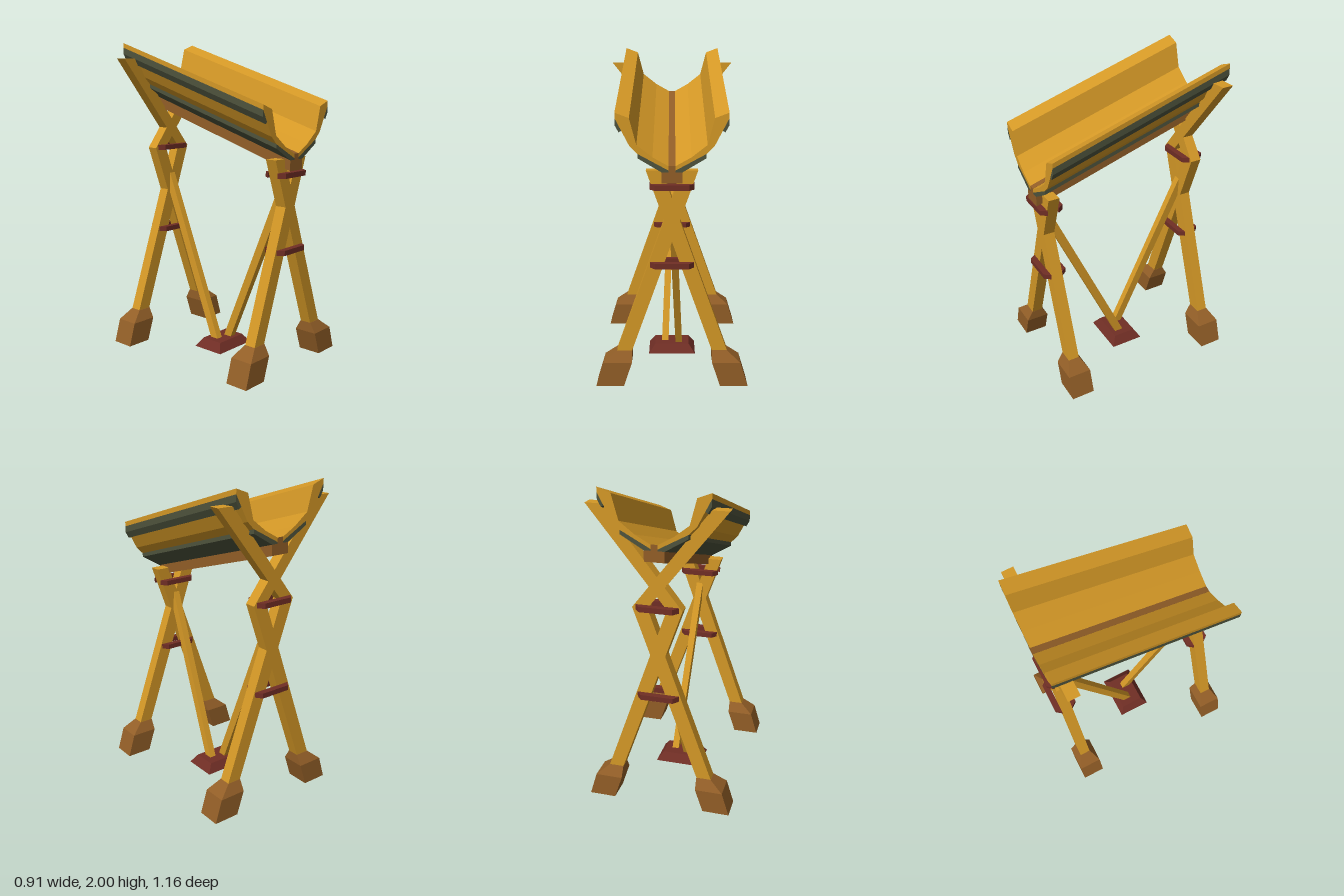
import * as THREE from 'three';

const SLOPE = 0.31; // rise of the trough towards the back
const HALF = 0.58; // half length of the trough

// Loft through rectangles [y, centre x, centre z, half width, half depth], lowest first
function loft(levels) {
  const rings = levels.map(([y, x, z, w, d]) => [
    [x - w, y, z - d], [x - w, y, z + d], [x + w, y, z + d], [x + w, y, z - d],
  ]);
  const pos = [];
  const quad = (a, b, c, d) => [a, b, c, a, c, d].forEach((p) => pos.push(...p));
  for (let r = 0; r < rings.length - 1; r++) {
    for (let i = 0; i < 4; i++) {
      const j = (i + 1) % 4;
      quad(rings[r][i], rings[r][j], rings[r + 1][j], rings[r + 1][i]);
    }
  }
  quad(...[...rings[0]].reverse());
  quad(...rings[rings.length - 1]);
  const geometry = new THREE.BufferGeometry();
  geometry.setAttribute('position', new THREE.Float32BufferAttribute(pos, 3));
  geometry.computeVertexNormals();
  return geometry;
}

// Extrude a cross-section along z, then shear it so the back end sits higher
function rail(points) {
  const shape = new THREE.Shape(points.map(([x, y]) => new THREE.Vector2(x, y)));
  const geometry = new THREE.ExtrudeGeometry(shape, { depth: 2 * HALF, bevelEnabled: false });
  geometry.translate(0, 0, -HALF);
  const p = geometry.attributes.position;
  for (let i = 0; i < p.count; i++) p.setY(i, p.getY(i) + SLOPE * (HALF - p.getZ(i)));
  geometry.computeVertexNormals();
  return geometry;
}

export function createModel() {
  const paint = (name, color) => {
    const m = new THREE.MeshStandardMaterial({ color, flatShading: true });
    m.name = name;
    return m;
  };
  const gold = paint('golden wood', 0xd49826);
  const brown = paint('brown wood', 0x925e27);
  const red = paint('dark red wood', 0x702e25);
  const olive = paint('dark olive metal', 0x4e533d);

  const model = new THREE.Group();
  model.name = 'slopedTroughOnTrestles';
  const add = (name, geometry, material, parent) => {
    const mesh = new THREE.Mesh(geometry, material);
    mesh.name = name;
    parent.add(mesh);
    return mesh;
  };
  const group = (name) => {
    const g = new THREE.Group();
    g.name = name;
    model.add(g);
    return g;
  };

  // Trough: two mirrored halves with olive strips, joined by a T-shaped spine
  const trough = group('trough');
  const wall = [[0.32, 1.64], [0.24, 1.61], [0.2, 1.46], [0.11, 1.39], [0.02, 1.34],
    [0.02, 1.315], [0.195, 1.41], [0.24, 1.455], [0.32, 1.61]];
  const upperStrip = [[0.32, 1.61], [0.284, 1.54], [0.298, 1.53], [0.32, 1.57]];
  const lowerStrip = [[0.195, 1.41], [0.02, 1.315], [0.02, 1.305], [0.06, 1.305], [0.195, 1.385]];
  for (const s of [-1, 1]) {
    const side = s > 0 ? 'left' : 'right';
    const mirror = (points) => points.map(([x, y]) => [s * x, y]);
    add(side + 'Wall', rail(mirror(wall)), gold, trough);
    add(side + 'UpperStrip', rail(mirror(upperStrip)), olive, trough);
    add(side + 'LowerStrip', rail(mirror(lowerStrip)), olive, trough);
  }
  add('spine', rail([[-0.06, 1.24], [0.06, 1.24], [0.06, 1.305], [0.02, 1.305],
    [0.02, 1.341], [-0.02, 1.341], [-0.02, 1.305], [-0.06, 1.305]]), brown, trough);

  // Trestles: crossed legs, feet and pairs of clamp plates
  for (const e of [1, -1]) {
    const z = e * 0.505;
    const trestle = group(e > 0 ? 'frontTrestle' : 'backTrestle');
    for (const s of [-1, 1]) {
      const side = s > 0 ? 'left' : 'right';
      const levels = [[0, s * 0.361, z, 0.045, 0.036], [1.31, -s * 0.104, z, 0.046, 0.036]];
      // The back legs bend at the clamp and cross again to cradle the trough
      if (e < 0) levels.push([1.9, s * 0.36, z, 0.05, 0.036]);
      add(side + 'Leg', loft(levels), gold, trestle);
      add(side + 'Foot', loft([
        [0.002, s * 0.372, z, 0.083, 0.075],
        [0.15, s * 0.325, z, 0.085, 0.075],
        [0.215, s * 0.285, z, 0.046, 0.038],
      ]), brown, trestle);
    }
    for (const y of [0.75, e > 0 ? 1.215 : 1.313]) {
      for (const s of [-1, 1]) {
        const plate = loft([[0, 0, 0, 0.13, 0.016], [0.039, 0, 0, 0.1, 0.016]]);
        plate.rotateX(s * Math.PI / 2);
        plate.translate(0, y, z + s * 0.036);
        add('clampPlate', plate, red, trestle);
      }
    }
  }

  // Diagonal braces rising from a low base plate to each trestle
  const braces = group('braces');
  add('basePlate', loft([[0.002, 0, 0, 0.153, 0.11], [0.058, 0, 0, 0.112, 0.075]]), red, braces);
  for (const e of [1, -1]) {
    add(e > 0 ? 'frontBrace' : 'backBrace', loft([
      [0, e * 0.048, -e * 0.007, 0.022, 0.029],
      [1.13, 0, e * 0.498, 0.022, 0.029],
    ]), gold, braces);
  }
  return model;
}
